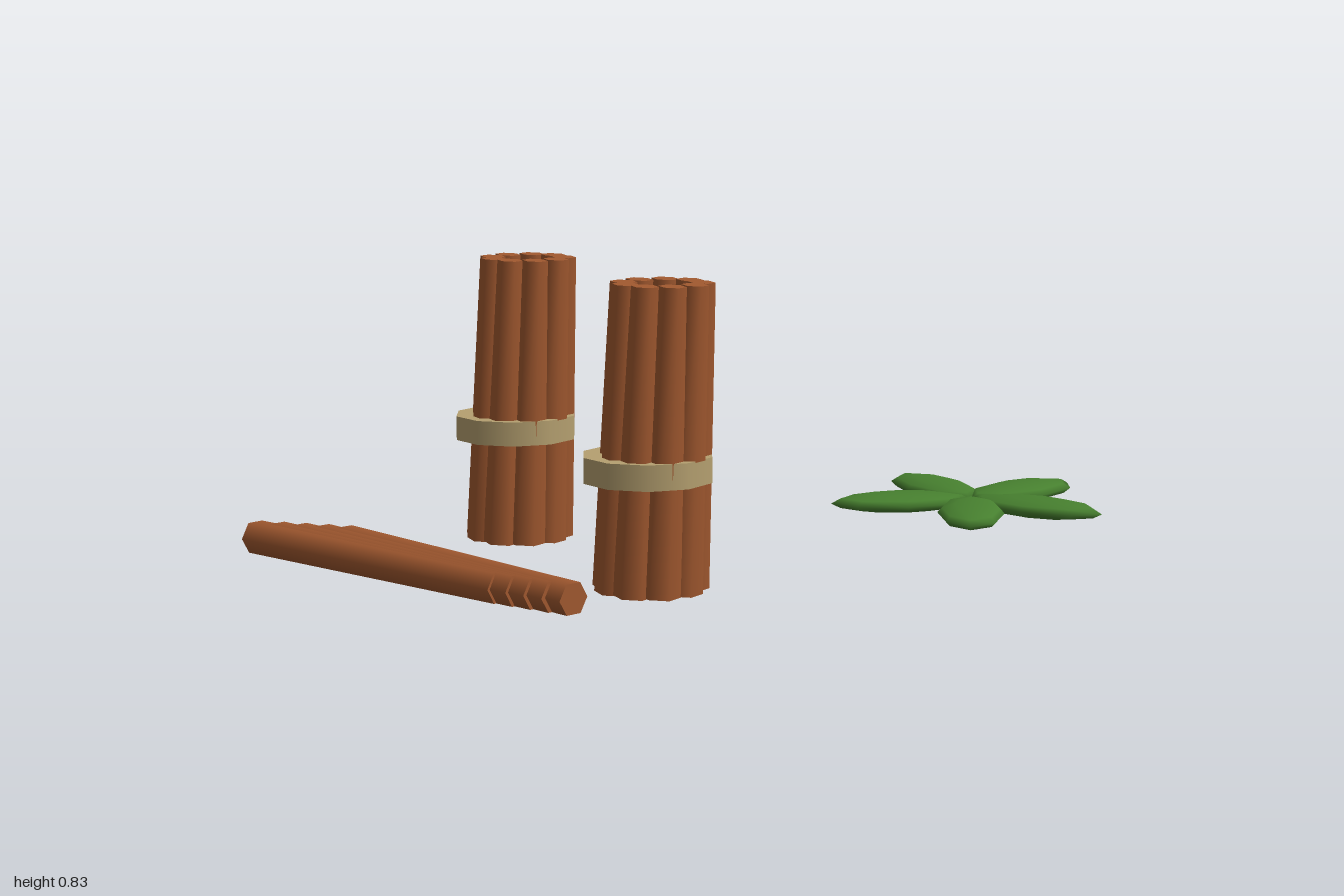
import * as THREE from 'three';

const material = (name, color) => {
  const m = new THREE.MeshStandardMaterial({ color });
  m.name = name;
  return m;
};

export function createModel() {
  const wood = material('brown wood', 0xa0582f);
  const rope = material('tan rope', 0xb5a070);
  const green = material('leaf green', 0x47802f);

  const model = new THREE.Group();
  model.name = 'campMaterials';

  const add = (parent, name, geometry, mat, x, y, z) => {
    const mesh = new THREE.Mesh(geometry, mat);
    mesh.name = name;
    mesh.position.set(x, y, z);
    parent.add(mesh);
    return mesh;
  };

  // Standing bundles: nine leaning sticks around a solid rope binding
  const stickGeo = new THREE.CylinderGeometry(0.037, 0.055, 0.83, 6);
  const bindingGeo = new THREE.CylinderGeometry(0.18, 0.18, 0.07, 10);
  for (const [x, z] of [[-0.63, 0.027], [0.1, 0.39]]) {
    const bundle = new THREE.Group();
    bundle.name = 'stickBundle';
    bundle.position.set(x, 0, z);
    for (let i = 0; i < 9; i++) {
      const a = (i / 9) * Math.PI * 2;
      const stick = add(bundle, 'bundleStick', stickGeo, wood,
        0.028 + Math.cos(a) * 0.105, 0.419, Math.sin(a) * 0.105);
      stick.rotation.z = -0.05;
    }
    add(bundle, 'binding', bindingGeo, rope, 0, 0.335, 0);
    model.add(bundle);
  }

  // Fanned row of five poles lying flat
  const poles = new THREE.Group();
  poles.name = 'lyingPoles';
  const poleGeo = new THREE.CylinderGeometry(0.049, 0.046, 0.98, 6);
  poleGeo.rotateZ(Math.PI / 2);
  for (let i = 0; i < 5; i++) {
    const pole = add(poles, 'pole', poleGeo, wood, -0.51 + 0.061 * i, 0.08, 0.81 - 0.011 * i);
    pole.rotation.y = -0.126 - 0.024 * i;
  }
  model.add(poles);

  // Five flattened leaves radiating from one point
  const leaves = new THREE.Group();
  leaves.name = 'leafCluster';
  leaves.position.set(0.583, 0.152, -0.54);
  const leafGeo = new THREE.SphereGeometry(1, 8, 6);
  leafGeo.scale(0.206, 0.028, 0.094);
  leafGeo.translate(0.206, 0, 0);
  for (let i = 0; i < 5; i++) {
    add(leaves, 'leaf', leafGeo, green, 0, 0, 0).rotation.y = i * 1.3;
  }
  model.add(leaves);

  return model;
}
